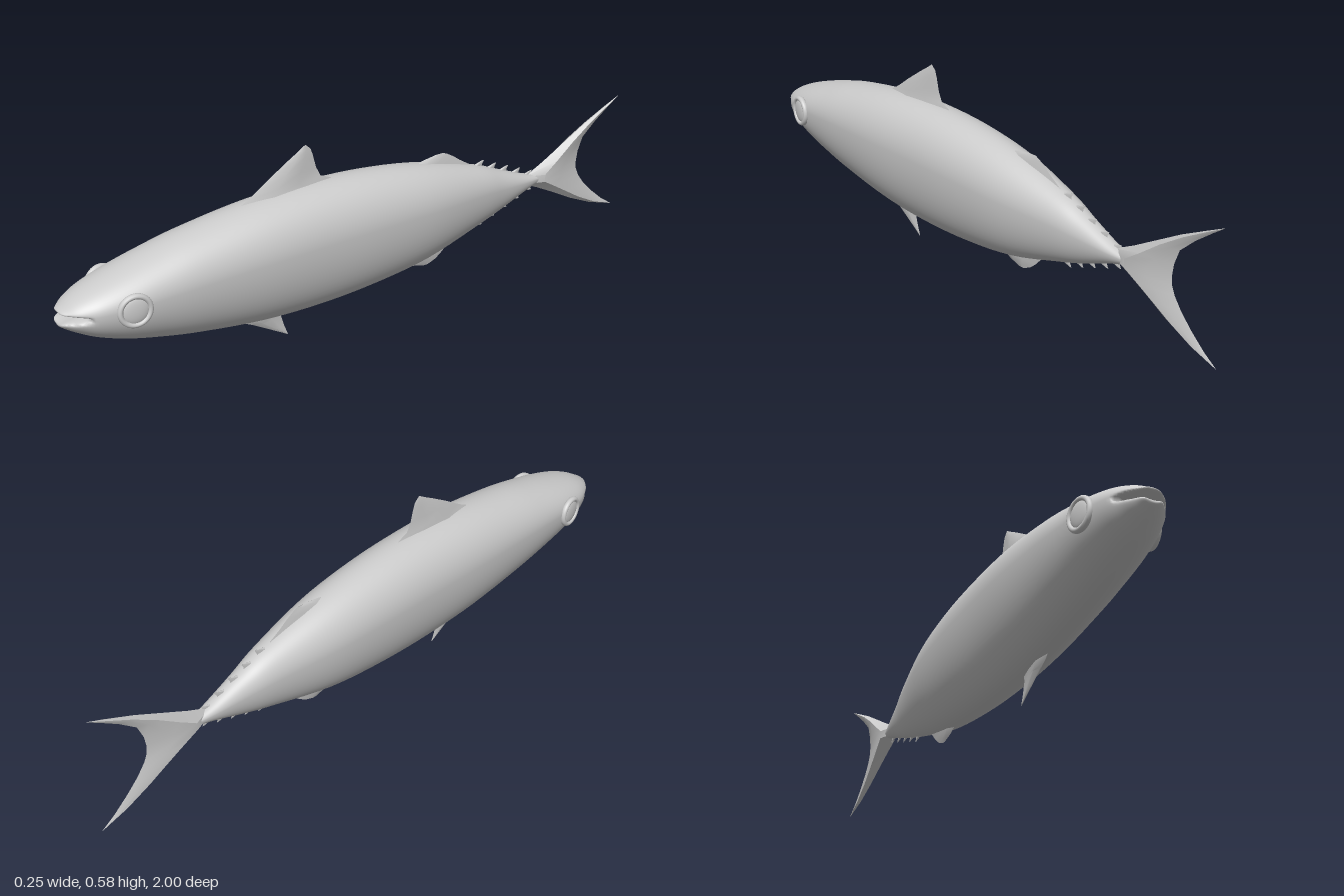
import * as THREE from 'three';
import { toCreasedNormals } from 'three/addons/utils/BufferGeometryUtils.js';

const material = new THREE.MeshStandardMaterial({ color: 0xcccccc });
const finMaterial = new THREE.MeshStandardMaterial({ color: 0xcccccc, side: THREE.DoubleSide });

// Skin a list of closed rings (each an array of [x, y, z]).
function loft(rings) {
  const n = rings[0].length, index = [];
  for (let i = 0; i < rings.length - 1; i++) {
    for (let j = 0; j < n; j++) {
      const k = (j + 1) % n;
      const a = i * n + j, b = i * n + k, c = b + n, d = a + n;
      index.push(a, b, c, a, c, d);
    }
  }
  const geo = new THREE.BufferGeometry();
  geo.setAttribute('position', new THREE.Float32BufferAttribute(rings.flat(2), 3));
  geo.setIndex(index);
  geo.computeVertexNormals();
  return geo;
}

function addMesh(parent, name, geo, mat = material) {
  const mesh = new THREE.Mesh(geo, mat);
  mesh.name = name;
  parent.add(mesh);
  return mesh;
}

// Body stations: z, top, bottom, half width; the last ones fold into the mouth.
const STATIONS = [
  [-0.66, 0.272, 0.245, 0.016], [-0.6, 0.29, 0.228, 0.028], [-0.5, 0.33, 0.192, 0.046],
  [-0.4, 0.37, 0.162, 0.066], [-0.2, 0.425, 0.11, 0.1], [0, 0.455, 0.086, 0.115],
  [0.2, 0.465, 0.079, 0.121], [0.4, 0.458, 0.09, 0.124], [0.6, 0.432, 0.12, 0.119],
  [0.72, 0.407, 0.146, 0.113], [0.82, 0.381, 0.174, 0.105], [0.9, 0.356, 0.205, 0.089],
  [0.95, 0.335, 0.232, 0.067], [0.98, 0.317, 0.251, 0.046], [0.997, 0.305, 0.266, 0.031],
  [0.985, 0.296, 0.28, 0.022], [0.95, 0.291, 0.287, 0.015],
];

function bodyGeometry() {
  const curve = (f) => new THREE.CatmullRomCurve3(STATIONS.map(f), false, 'catmullrom', 0.5);
  const outline = curve(([z, top, bottom]) => new THREE.Vector3(z, top, bottom));
  const widths = curve((s) => new THREE.Vector3(s[3], 0, 0));
  const steps = (STATIONS.length - 1) * 5, sides = 64, rings = [];
  for (let i = 0; i <= steps; i++) {
    const { x: z0, y: top, z: bottom } = outline.getPoint(i / steps);
    const w = widths.getPoint(i / steps).x;
    const mid = bottom + (top - bottom) * 0.62;
    const ring = [];
    for (let j = 0; j < sides; j++) {
      const a = (j / sides) * Math.PI * 2, s = Math.sin(a);
      const y = mid + s * (s > 0 ? top - mid : mid - bottom);
      // groove between the lips
      const groove = Math.exp(-(((y - 0.289) / 0.008) ** 2));
      const z = z0 > 0.925 ? THREE.MathUtils.lerp(z0, 0.925, groove) : z0;
      ring.push([w * Math.cos(a), y, z]);
    }
    rings.push(ring);
  }
  return loft(rings);
}

// Fin from levels of rising y: [y, leading z, trailing z, half thickness].
function finGeometry(levels) {
  const section = [[0, 0], [0.3, 1], [0.65, 0.7], [1, 0], [0.65, -0.7], [0.3, -1]];
  const rings = levels.map(([y, lead, trail, h]) =>
    section.map(([t, x]) => [x * h, y, lead + (trail - lead) * t]));
  return toCreasedNormals(loft(rings), 0.6);
}

const FINS = {
  dorsalFin: [
    [0.44, 0.46, 0.1, 0.02], [0.465, 0.41, 0.13, 0.016], [0.48, 0.385, 0.165, 0.014],
    [0.51, 0.34, 0.18, 0.011], [0.55, 0.275, 0.19, 0.006], [0.57, 0.24, 0.197, 0.003],
    [0.585, 0.216, 0.213, 0.0005]],
  rearDorsalFin: [
    [0.36, -0.08, -0.41, 0.018], [0.4, -0.11, -0.345, 0.013], [0.418, -0.15, -0.32, 0.009],
    [0.433, -0.2, -0.295, 0.005], [0.44, -0.25, -0.278, 0.0005]],
  pelvicFin: [
    [0.003, 0.291, 0.288, 0.0005], [0.035, 0.345, 0.3, 0.004], [0.07, 0.405, 0.31, 0.009],
    [0.085, 0.435, 0.305, 0.012], [0.11, 0.46, 0.28, 0.014]],
  analFin: [
    [0.079, -0.21, -0.228, 0.0005], [0.09, -0.17, -0.258, 0.005], [0.11, -0.13, -0.285, 0.009],
    [0.15, -0.09, -0.325, 0.014], [0.18, -0.09, -0.38, 0.016]],
  tailFin: [
    [0.08, -0.998, -1, 0.0005], [0.11, -0.9, -0.955, 0.006], [0.15, -0.81, -0.908, 0.011],
    [0.19, -0.735, -0.868, 0.016], [0.225, -0.665, -0.842, 0.021], [0.25, -0.61, -0.831, 0.025],
    [0.275, -0.61, -0.829, 0.025], [0.31, -0.685, -0.834, 0.021], [0.355, -0.77, -0.852, 0.016],
    [0.4, -0.855, -0.905, 0.01], [0.44, -0.942, -0.962, 0.005], [0.465, -0.998, -1, 0.0005]],
};

export function createModel() {
  const fish = new THREE.Group();
  fish.name = 'fish';
  addMesh(fish, 'body', bodyGeometry());
  for (const [name, levels] of Object.entries(FINS)) {
    addMesh(fish, name, finGeometry(levels), finMaterial);
  }

  // Rows of small finlets, swept back along the tail stalk
  const finlets = new THREE.Group();
  finlets.name = 'finlets';
  for (let i = 0; i < 5; i++) {
    const z = -0.385 - i * 0.05;
    const top = 0.377 - i * 0.021, bottom = 0.157 + i * 0.017;
    addMesh(finlets, 'upperFinlet', finGeometry([
      [top - 0.04, z + 0.02, z - 0.045, 0.009], [top - 0.012, z, z - 0.048, 0.006],
      [top, z - 0.045, z - 0.055, 0.0005]]), finMaterial);
    addMesh(finlets, 'lowerFinlet', finGeometry([
      [bottom, z - 0.045, z - 0.055, 0.0005], [bottom + 0.015, z, z - 0.048, 0.006],
      [bottom + 0.045, z + 0.02, z - 0.045, 0.009]]), finMaterial);
  }
  fish.add(finlets);

  // Eyes: a shallow dome inside a raised rim
  for (const side of [1, -1]) {
    const eye = new THREE.Group();
    eye.name = side > 0 ? 'leftEye' : 'rightEye';
    const rim = addMesh(eye, 'eyeRim', new THREE.TorusGeometry(0.042, 0.008, 12, 40));
    rim.scale.z = 1.2;
    const ball = addMesh(eye, 'eyeball', new THREE.SphereGeometry(0.039, 32, 20));
    ball.scale.z = 0.25;
    eye.position.set(side * 0.104, 0.298, 0.82);
    eye.rotation.y = side * (Math.PI / 2 - 0.14);
    fish.add(eye);
  }
  return fish;
}
